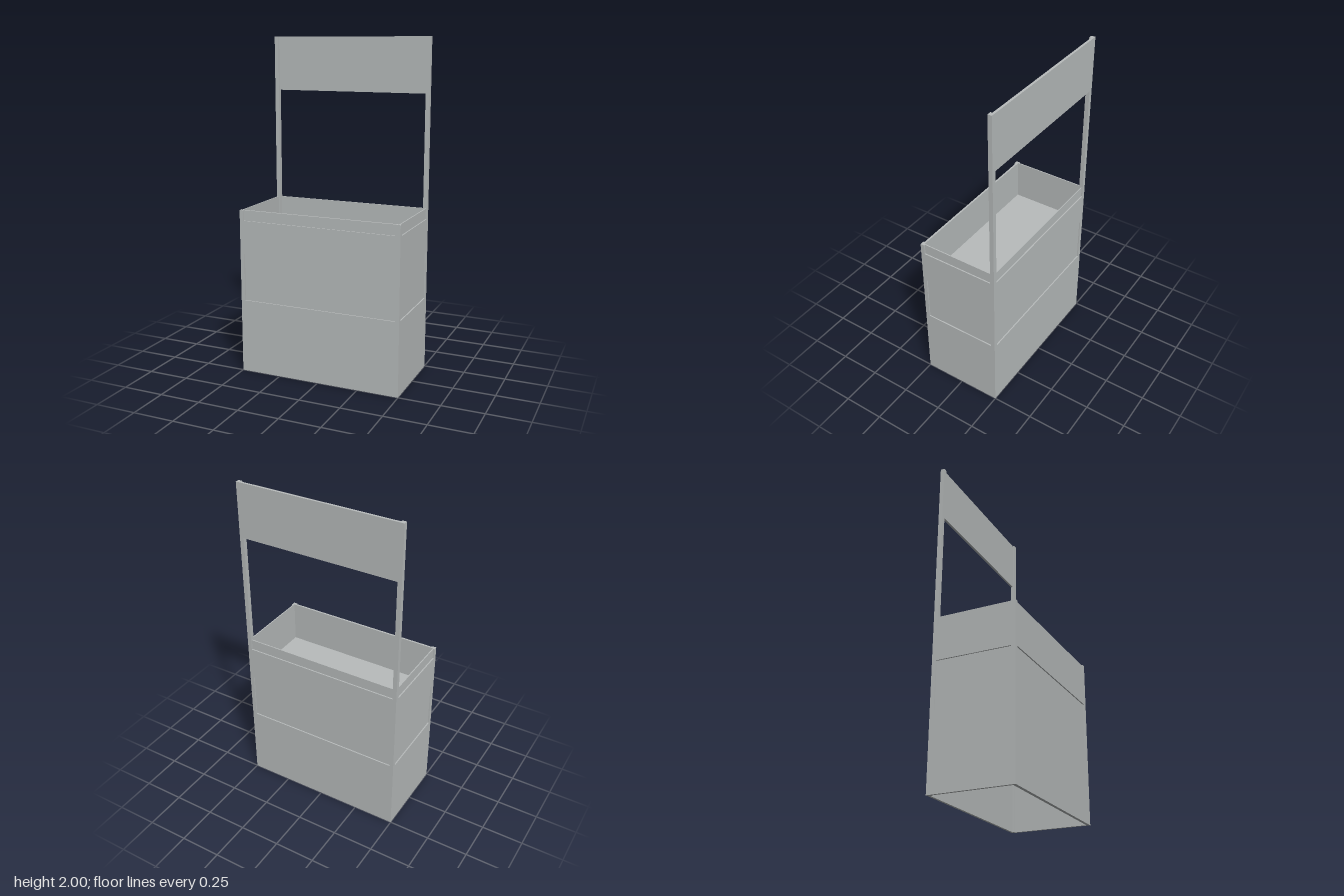
import * as THREE from 'three';

const W = 0.5, D = 0.25;      // half width and half depth of the counter
const POST = 0.025;           // post and stile width
const RECESS = 0.0075;        // depth of the panel recesses

export function createModel() {
  const model = new THREE.Group();
  model.name = 'marketStall';
  const grey = new THREE.MeshStandardMaterial({ color: 0xb8bcbc });
  grey.name = 'grey';

  // Box given by its limits on each axis
  function box(name, [x0, x1], [y0, y1], [z0, z1]) {
    const mesh = new THREE.Mesh(new THREE.BoxGeometry(x1 - x0, y1 - y0, z1 - z0), grey);
    mesh.position.set((x0 + x1) / 2, (y0 + y1) / 2, (z0 + z1) / 2);
    mesh.name = name;
    model.add(mesh);
  }

  // Raised facing with a notch along the top and a rectangular opening
  function facing(name, half, open, angle, distance) {
    const shape = new THREE.Shape([
      [-half, 0], [half, 0], [half, 1], [open, 1],
      [open, 0.937], [-open, 0.937], [-open, 1], [-half, 1],
    ].map(([x, y]) => new THREE.Vector2(x, y)));
    shape.holes.push(new THREE.Path([
      [-open, 0.448], [-open, 0.735], [open, 0.735], [open, 0.448],
    ].map(([x, y]) => new THREE.Vector2(x, y))));
    const geometry = new THREE.ExtrudeGeometry(shape, { depth: RECESS, bevelEnabled: false });
    geometry.translate(0, 0, distance - RECESS).rotateY(angle);
    const mesh = new THREE.Mesh(geometry, grey);
    mesh.name = name;
    model.add(mesh);
  }

  // Counter facings on all four sides
  facing('frontFacing', W, W - POST, 0, D);
  facing('backFacing', W, W - POST, Math.PI, D);
  facing('leftFacing', D - RECESS, D - POST, Math.PI / 2, W);
  facing('rightFacing', D - RECESS, D - POST, -Math.PI / 2, W);

  // Thin wall panels behind the facings
  const px = W - RECESS, pz = D - RECESS;
  box('frontPanel', [-px, px], [0, 1], [0.231, pz]);
  box('backPanel', [-px, px], [0, 1], [-pz, -0.236]);
  box('leftPanel', [0.486, px], [0, 1], [-0.236, 0.231]);
  box('rightPanel', [-px, -0.486], [0, 1], [-0.236, 0.231]);

  // Shelf inside the counter
  box('shelf', [-0.487, 0.487], [0.736, 0.75], [-0.237, 0.232]);

  // Posts with their feet inside the counter
  for (const [side, s] of [['left', 1], ['right', -1]]) {
    const span = (a, b) => (s > 0 ? [a, b] : [-b, -a]);
    box(side + 'Post', span(W - POST, W), [1, 2], [-D, -D + POST]);
    box(side + 'PostFoot', span(W - POST, 0.487), [0, 1], [-0.237, -D + POST]);
  }

  // Sign board between the posts, flush with the back
  box('signBoard', [-W + POST, W - POST], [1.675, 2], [-D, -0.236]);

  return model;
}
